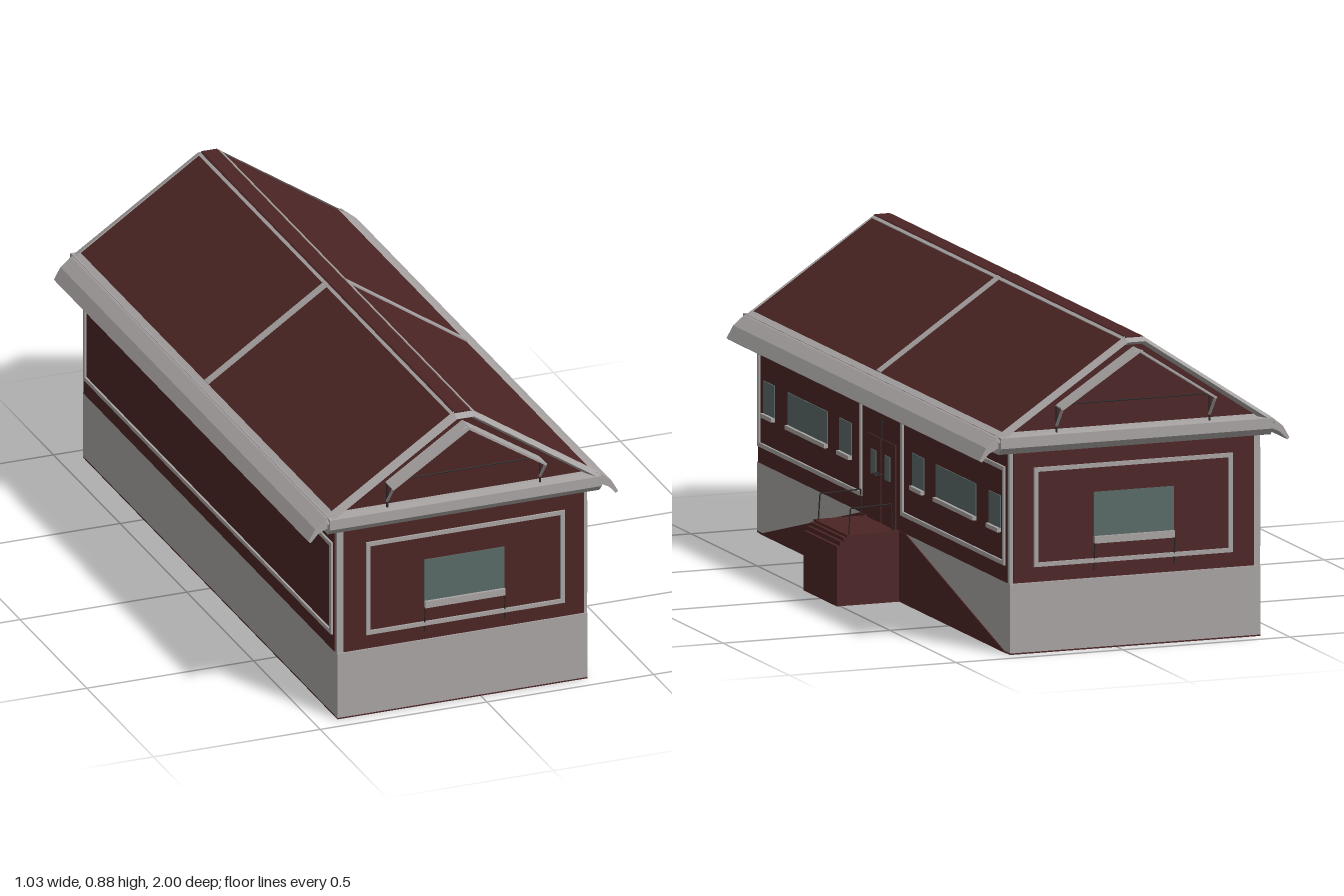
import * as THREE from 'three';

const mat = (name, color, opts = {}) => {
  const m = new THREE.MeshStandardMaterial({ color, ...opts });
  m.name = name;
  return m;
};

export function createModel() {
  const house = new THREE.Group();
  house.name = 'house';
  const red = mat('dark red', 0x4c2424);
  const grey = mat('trim grey', 0xa8a4a3);
  const greySheet = mat('verge grey', 0xa8a4a3, { side: THREE.DoubleSide });
  const glass = mat('window glass', 0x596a67);
  const dark = mat('dark metal', 0x2b2929);

  const add = (name, geo, material) => {
    const m = new THREE.Mesh(geo, material);
    m.name = name;
    house.add(m);
    return m;
  };
  // Box given by its limits
  const box = (name, material, x0, x1, y0, y1, z0, z1) => {
    const g = new THREE.BoxGeometry(Math.abs(x1 - x0), Math.abs(y1 - y0), Math.abs(z1 - z0));
    g.translate((x0 + x1) / 2, (y0 + y1) / 2, (z0 + z1) / 2);
    return add(name, g, material);
  };
  const extrude = (pts, depth) => new THREE.ExtrudeGeometry(
    new THREE.Shape(pts.map(p => new THREE.Vector2(...p))), { depth, bevelEnabled: false });
  // Profile in x, y swept along z
  const alongZ = (name, material, pts, z0, z1) =>
    add(name, extrude(pts, z1 - z0).translate(0, 0, z0), material);
  // Symmetric profile in z, y swept along x
  const alongX = (name, material, pts, x0, x1) =>
    add(name, extrude(pts, x1 - x0).rotateY(Math.PI / 2).translate(x0, 0, 0), material);
  // Thin rod between two points
  const rod = (name, material, a, b, r = 0.003) => {
    const p = new THREE.Vector3(...a), q = new THREE.Vector3(...b);
    const d = q.clone().sub(p);
    const m = add(name, new THREE.CylinderGeometry(r, r, d.length(), 6), material);
    m.position.copy(p).add(q).multiplyScalar(0.5);
    m.quaternion.setFromUnitVectors(new THREE.Vector3(0, 1, 0), d.normalize());
  };
  // Rectangle on a wall: axis is the wall normal, w its plane, t its signed thickness
  const plate = (name, material, axis, u0, u1, y0, y1, w, t) => axis === 'z'
    ? box(name, material, u0, u1, y0, y1, w, w + t)
    : box(name, material, w, w + t, y0, y1, u0, u1);
  // Four-bar moulding on a wall
  const frame = (name, axis, u0, u1, y0, y1, w, t, b = 0.012) => {
    plate(name, grey, axis, u0, u1, y0, y0 + b, w, t);
    plate(name, grey, axis, u0, u1, y1 - b, y1, w, t);
    plate(name, grey, axis, u0, u0 + b, y0 + b, y1 - b, w, t);
    plate(name, grey, axis, u1 - b, u1, y0 + b, y1 - b, w, t);
  };

  const L = -0.43, R = 0.32, Z = 0.95, MID = -0.0525;
  const mirror = pts => pts.map(([x, y]) => [2 * MID - x, y]);

  // Foundation and wall core, whose corners show as grey posts
  box('foundation', grey, L, R, 0.004, 0.2, -0.955, 0.955);
  box('underside', red, L, R, 0, 0.004, -0.955, 0.955);
  box('wallCore', grey, L, R, 0.2, 0.59, -Z, Z);
  alongX('foundationRamp', red, [[-0.93, 0], [0.93, 0], [0.17, 0.2], [-0.17, 0.2]], R, R + 0.003);

  // End walls, each with a moulding, a window and a sill
  for (const s of [1, -1]) {
    const w = s * Z;
    plate('endWall', red, 'z', -0.41, 0.31, 0.202, 0.57, w, s * 0.005);
    frame('endMoulding', 'z', -0.345, 0.25, 0.245, 0.527, w, s * 0.011);
    plate('endWindow', glass, 'z', -0.17, 0.07, 0.32, 0.445, w, s * 0.008);
    plate('endSill', grey, 'z', -0.17, 0.07, 0.3, 0.32, w, s * 0.016);
    for (const x of [-0.17, 0.07]) rod('sillBracket', dark, [x, 0.225, s * 0.957], [x, 0.3, s * 0.963], 0.002);
  }

  // Long walls
  plate('entranceWall', red, 'x', -0.94, 0.94, 0.202, 0.57, R, 0.004);
  plate('rearWall', red, 'x', -0.94, 0.94, 0.202, 0.57, L, -0.004);
  frame('rearMoulding', 'x', -0.93, 0.93, 0.25, 0.53, L, -0.01);
  for (const s of [1, -1]) {
    const span = (a, b) => s > 0 ? [a, b] : [-b, -a];
    frame('sideMoulding', 'x', ...span(0.15, 0.93), 0.25, 0.53, R, 0.01);
    for (const [a, b] of [[0.81, 0.895], [0.41, 0.71], [0.23, 0.32]]) {
      plate('sideWindow', glass, 'x', ...span(a, b), 0.35, 0.442, R, 0.007);
      plate('sideSill', grey, 'x', ...span(a, b), 0.338, 0.35, R, 0.016);
    }
    // Door leaf, its window, handle and the step railing
    plate('doorLeaf', red, 'x', ...span(0.003, 0.105), 0.2, 0.44, R, 0.008);
    plate('doorWindow', glass, 'x', ...span(0.035, 0.07), 0.33, 0.4, R, 0.011);
    rod('doorHandle', dark, [0.325, 0.34, s * 0.015], [0.347, 0.34, s * 0.015]);
    const rail = [[0.34, 0.2], [0.343, 0.277], [0.465, 0.273], [0.47, 0.2]];
    for (let i = 0; i < 3; i++) {
      rod('stepRail', dark, [...rail[i], s * 0.115], [...rail[i + 1], s * 0.115], 0.002);
    }
  }
  rod('doorLamp', dark, [0.326, 0.44, 0], [0.326, 0.5, 0]);

  // Entrance steps
  alongZ('entranceSteps', red, [[R, 0], [0.51, 0], [0.51, 0.17], [0.5, 0.17], [0.5, 0.183],
    [0.49, 0.183], [0.49, 0.193], [0.48, 0.193], [0.48, 0.2], [R, 0.2]], -0.125, 0.125);

  // Cornice and curved eaves
  alongX('cornice', grey, [[-0.955, 0.57], [0.955, 0.57], [0.975, 0.59], [0.975, 0.62],
    [0.945, 0.622], [-0.945, 0.622], [-0.975, 0.62], [-0.975, 0.59]], -0.46, 0.355);
  const eave = [[0.335, 0.63], [0.36, 0.618], [0.392, 0.592], [0.412, 0.557], [0.405, 0.552],
    [0.384, 0.575], [0.358, 0.588], [0.32, 0.57]];
  alongZ('eave', grey, eave, -0.955, 0.955);
  alongZ('eave', grey, mirror(eave), -0.955, 0.955);

  // Roof body, which also closes both gables
  const slope = [[0.335, 0.63], [-0.027, 0.873]];
  const line = [...slope, ...mirror(slope).reverse()];
  alongZ('roof', red, line, -0.945, 0.945);
  alongZ('ridgeCap', red, [[-0.085, 0.868], [-0.02, 0.868], [-0.03, 0.878], [-0.075, 0.878]], -0.95, 0.95);

  // Grey rib over the middle of each slope and thin lines beside the ridge cap
  const rib = [[0.335, 0.63], [0.337, 0.634], [-0.025, 0.877], [-0.027, 0.873]];
  const ridgeLine = [[-0.019, 0.868], [-0.017, 0.871], [-0.025, 0.876], [-0.027, 0.873]];
  for (const f of [p => p, mirror]) {
    alongZ('roofRib', grey, f(rib), -0.0125, 0.0125);
    alongZ('ridgeLine', grey, f(ridgeLine), -0.945, 0.945);
  }

  // Flared verge along each gable edge, lofted through three shifted roof lines
  const edge = [[0.36, 0.615], ...line.slice(1, 3), [-0.465, 0.615]];
  for (const s of [1, -1]) {
    const rows = [[0.004, 0.943], [-0.008, 0.972], [-0.02, 0.946]];
    const pos = [];
    for (let r = 0; r < 2; r++) for (let i = 0; i < 3; i++) {
      const v = (j, k) => [edge[j][0], edge[j][1] + rows[k][0], s * rows[k][1]];
      const q = [v(i, r), v(i, r + 1), v(i + 1, r + 1), v(i + 1, r)];
      const order = s > 0 ? [0, 1, 2, 0, 2, 3] : [0, 2, 1, 0, 3, 2];
      for (const n of order) pos.push(...q[n]);
    }
    const g = new THREE.BufferGeometry();
    g.setAttribute('position', new THREE.Float32BufferAttribute(pos, 3));
    g.computeVertexNormals();
    add('verge', g, greySheet);

    // Small gable hood on two braces
    const z0 = s > 0 ? 0.944 : -1, z1 = z0 + 0.056;
    alongZ('gableHood', grey, [[-0.283, 0.697], [-0.28, 0.692], [MID, 0.84], [0.178, 0.692],
      [0.181, 0.697], [MID, 0.848]], z0, z1);
    for (const x of [-0.279, 0.179]) {
      rod('hoodPost', dark, [x, 0.62, s * 0.95], [x, 0.695, s * 0.95], 0.003);
      rod('hoodBrace', grey, [x, 0.64, s * 0.95], [x, 0.695, s * 0.995], 0.004);
    }
    rod('hoodTie', dark, [-0.28, 0.698, s * 0.947], [0.18, 0.698, s * 0.947], 0.002);
    const finial = add('hoodFinial', new THREE.OctahedronGeometry(0.012), grey);
    finial.scale.set(1.2, 0.5, 0.8);
    finial.position.set(MID, 0.842, s * 0.988);
  }
  return house;
}
